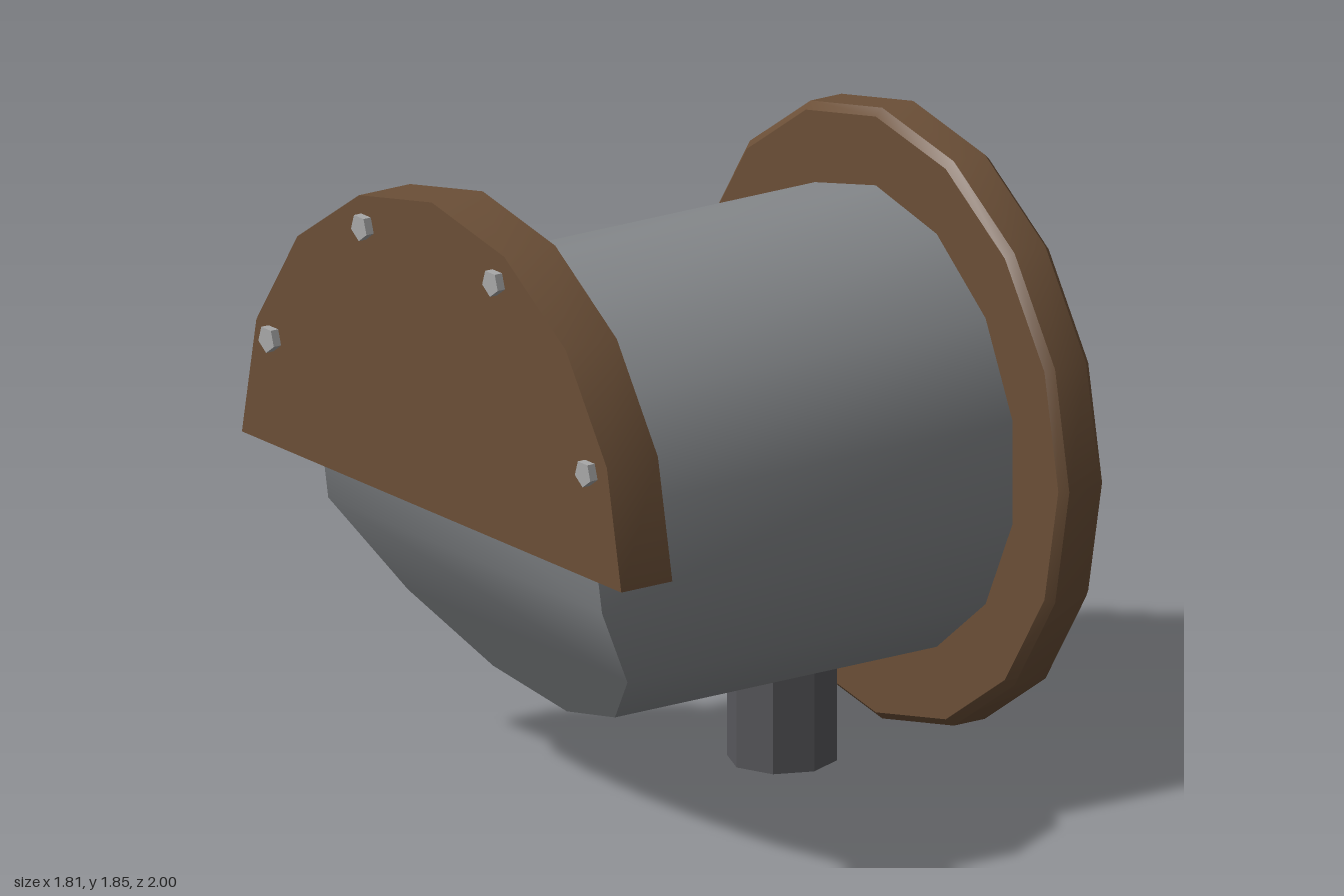
import * as THREE from 'three';
import { toCreasedNormals } from 'three/addons/utils/BufferGeometryUtils.js';

const CY = 0.943; // height of the main axis
const CREASE = 0.46;

export function createModel() {
  const paint = (name, color) => {
    const m = new THREE.MeshStandardMaterial({ color });
    m.name = name;
    return m;
  };
  const steel = paint('steel grey', 0x85888b);
  const brown = paint('brown', 0x6b4f37);
  const darkSteel = paint('dark grey', 0x57575b);
  const boltGrey = paint('light grey', 0xa8a8a8);

  const group = new THREE.Group();
  const add = (name, geometry, material, x = 0, y = 0, z = 0) => {
    const mesh = new THREE.Mesh(geometry, material);
    mesh.name = name;
    mesh.position.set(x, y, z);
    group.add(mesh);
    return mesh;
  };

  // Main barrel: 14-sided tube whose front end slopes back below the middle
  const N = 14, R = 0.67, zBack = -0.56;
  const frontZ = (y) => (y > 0.8 ? Math.min(0.9, 0.86 + (y - 0.794) * 0.14) : 0.86 - (0.794 - y) * 0.67);
  const positions = [], index = [];
  for (const end of ['back', 'front']) {
    for (let i = 0; i < N; i++) {
      const a = (i / N) * Math.PI * 2;
      const y = CY + R * Math.cos(a);
      positions.push(R * Math.sin(a), y, end === 'back' ? zBack : frontZ(y));
    }
  }
  for (let i = 0; i < N; i++) {
    const j = (i + 1) % N;
    index.push(N + i, N + j, i, N + j, j, i);
  }
  // Front face in horizontal strips
  for (let k = 0; k < N / 2; k++) {
    const l0 = N + ((N - k) % N), l1 = N + (N - k - 1), r0 = N + k, r1 = N + k + 1;
    if (l1 !== r1) index.push(l0, l1, r1);
    if (l0 !== r0) index.push(l0, r1, r0);
  }
  const barrel = new THREE.BufferGeometry();
  barrel.setAttribute('position', new THREE.Float32BufferAttribute(positions, 3));
  barrel.setIndex(index);
  add('barrel', toCreasedNormals(barrel, CREASE), steel);

  // Bevelled discs stacked behind the barrel
  const disc = (name, r, z0, z1, bevel, material) => {
    const h = z1 - z0;
    const profile = [[0, 0], [r - bevel, 0], [r, bevel], [r, h - bevel], [r - bevel, h], [0, h]]
      .map(([x, y]) => new THREE.Vector2(x, y));
    const g = new THREE.LatheGeometry(profile, 16).rotateX(Math.PI / 2);
    add(name, toCreasedNormals(g, CREASE), material, 0, CY, z0);
  };
  disc('rearFlange', 0.893, -0.698, -0.548, 0.022, brown);
  disc('largeRearDisc', 0.618, -0.787, -0.69, 0.018, steel);
  disc('middleRearDisc', 0.435, -0.897, -0.785, 0.022, steel);
  disc('smallRearDisc', 0.25, -1.0, -0.913, 0.02, steel);

  // Half-round front plate
  const half = new THREE.Shape();
  for (let i = 0; i <= 8; i++) {
    const a = (i / 8) * Math.PI;
    half[i ? 'lineTo' : 'moveTo'](0.905 * Math.cos(a), 0.905 * Math.sin(a));
  }
  half.closePath();
  const plate = new THREE.ExtrudeGeometry(half, { depth: 0.175, bevelEnabled: false });
  add('frontPlate', toCreasedNormals(plate, CREASE), brown, 0, CY, 0.8);

  // Five-sided bolts through the plate
  const bolt = toCreasedNormals(new THREE.CylinderGeometry(0.039, 0.039, 0.222, 5).rotateX(Math.PI / 2), CREASE);
  for (const side of [-1, 1]) {
    for (const [x, y] of [[0.313, 1.697], [0.755, 1.255]]) add('bolt', bolt, boltGrey, side * x, y, 0.889);
  }

  // Octagonal outlet pipe underneath
  const pipe = new THREE.CylinderGeometry(0.155, 0.155, 0.38, 8);
  add('outletPipe', toCreasedNormals(pipe, CREASE), darkSteel, 0, 0.19, -0.226);

  return group;
}
